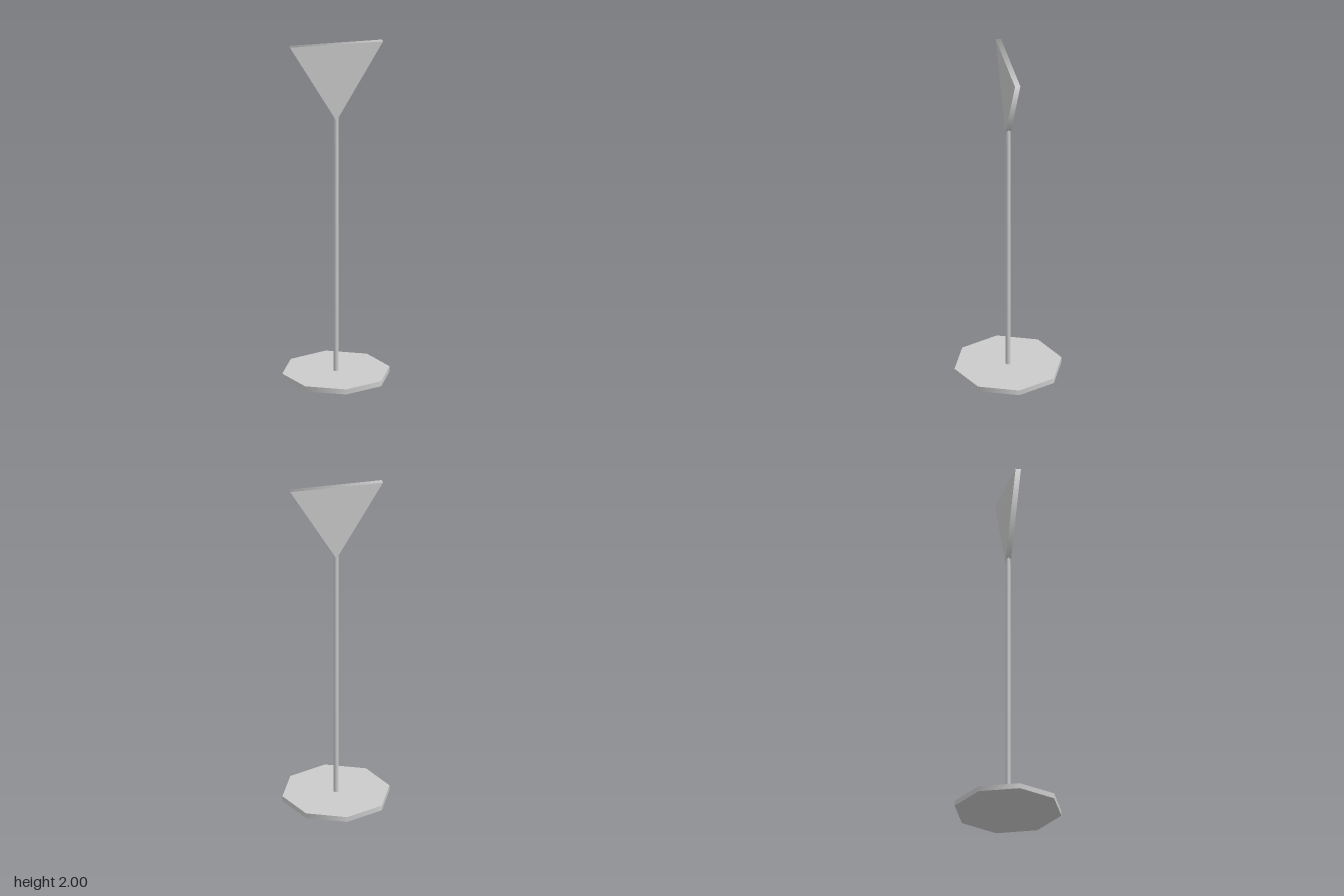
import * as THREE from 'three';

const U = 2 / 65; // design unit: the sign stands 65 units tall
const material = new THREE.MeshStandardMaterial({ color: 0xcccccc });

function addCylinder(group, name, radius, height, sides, y) {
  const mesh = new THREE.Mesh(
    new THREE.CylinderGeometry(radius * U, radius * U, height * U, sides), material);
  mesh.name = name;
  mesh.position.y = y * U;
  group.add(mesh);
  return mesh;
}

export function createModel() {
  const group = new THREE.Group();
  group.name = 'yieldSign';

  // Octagonal foot plate
  addCylinder(group, 'base', 10, 1, 8, 0.5);

  // Thin post, running slightly into the plate's lower tip
  addCylinder(group, 'pole', 0.5, 51, 8, 25.5);

  // Three-sided disc turned upright with one corner pointing down
  const plate = addCylinder(group, 'signPlate', 10, 1, 3, 60);
  plate.rotation.x = Math.PI / 2;

  return group;
}
